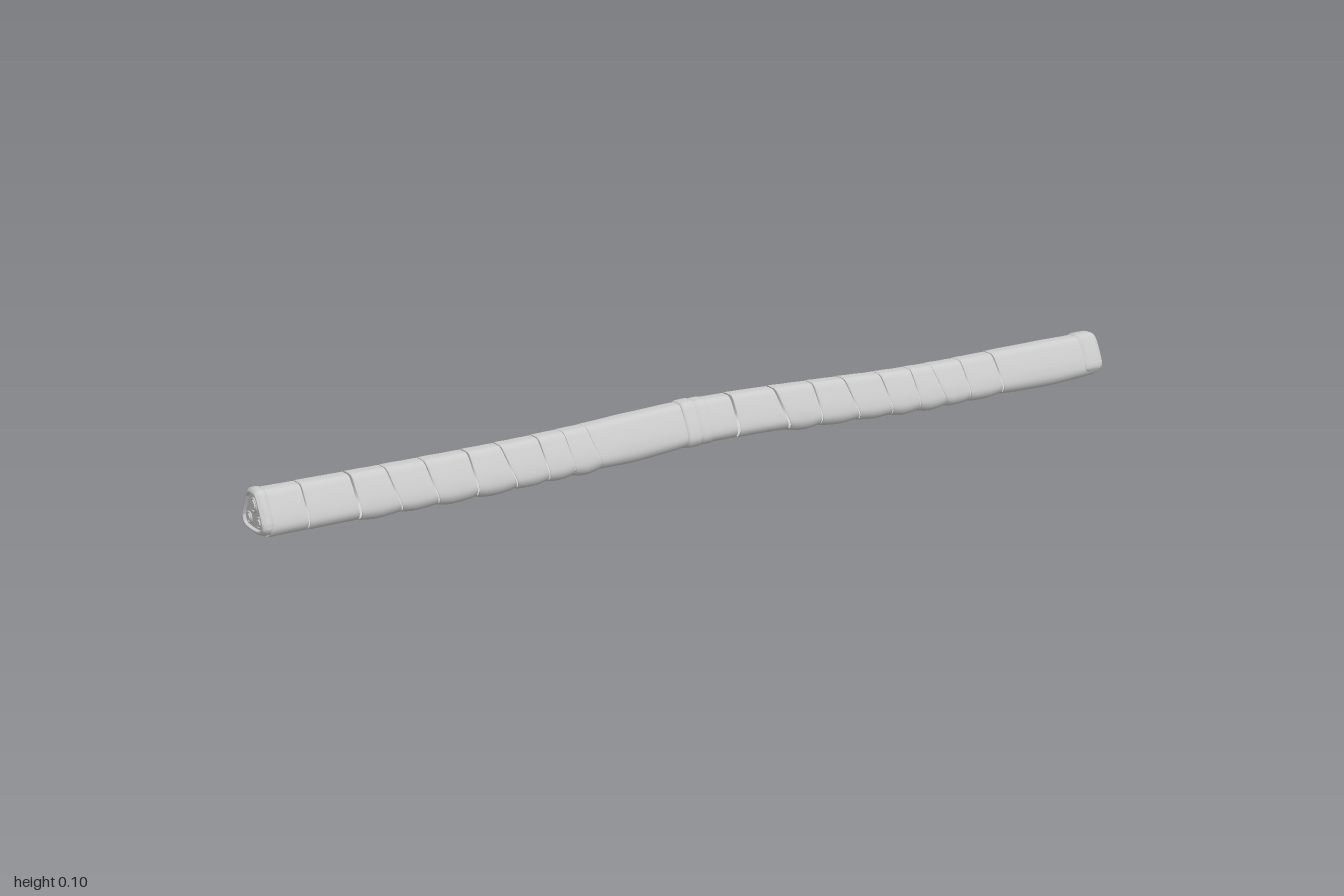
import * as THREE from 'three';
import { toCreasedNormals } from 'three/addons/utils/BufferGeometryUtils.js';

const material = new THREE.MeshStandardMaterial({ color: 0xcccccc, side: THREE.DoubleSide });
const MID = 0.051; // height of the bundle's axis
const SIDES = 56;

// gentle sideways sway of the bundle
const sway = new THREE.CatmullRomCurve3([
  [-1, 0.015], [-0.75, 0.016], [-0.5, 0.014], [-0.3, 0], [-0.12, -0.022], [0, -0.03], [0.12, -0.026],
  [0.3, -0.006], [0.45, 0.014], [0.6, 0.02], [0.8, 0.013], [1, 0.012],
].map(([x, z]) => new THREE.Vector3(x, 0, z))).getSpacedPoints(300);
function swayAt(x) {
  const i = Math.max(1, sway.findIndex((p) => p.x >= x));
  const a = sway[i - 1], b = sway[i];
  return THREE.MathUtils.lerp(a.z, b.z, THREE.MathUtils.clamp((x - a.x) / (b.x - a.x), 0, 1));
}

// rounded triangular cross-section, as z and y offsets from the axis
const half = [[0.016, 0.095], [0.029, 0.076], [0.045, 0.04], [0.0465, 0.027], [0.038, 0.014], [0.02, 0.009]];
const outline = [[0, 0.097], ...half, [0, 0.008], ...half.slice().reverse().map(([z, y]) => [-z, y])];
const section = new THREE.CatmullRomCurve3(
  outline.map(([z, y]) => new THREE.Vector3(0, y - MID, z)), true, 'centripetal').getSpacedPoints(SIDES).slice(0, SIDES);

// skin through rings; each ring is [x, scale, belly drop, slant, lift]
function loft(rings, crease) {
  const pos = [], index = [];
  rings.forEach(([x, s, drop = 0, slant = 0, lift = 0], i) => {
    section.forEach((p, j) => {
      const low = Math.max(0, -p.y / 0.044);
      const px = x + slant * (-p.y / 0.045 + 0.5 * low * p.z / 0.045);
      pos.push(px, MID + lift + p.y * s - drop * low, swayAt(px) + p.z * s);
      if (i < rings.length - 1) {
        const a = i * SIDES + j, b = i * SIDES + (j + 1) % SIDES;
        index.push(a, b, a + SIDES, b, b + SIDES, a + SIDES);
      }
    });
  });
  const g = new THREE.BufferGeometry();
  g.setAttribute('position', new THREE.Float32BufferAttribute(pos, 3));
  g.setIndex(index);
  if (crease) return toCreasedNormals(g, 0.7);
  g.computeVertexNormals();
  return g;
}

function add(parent, name, geometry) {
  const mesh = new THREE.Mesh(geometry, material);
  mesh.name = name;
  parent.add(mesh);
  return mesh;
}

// end collar with a recessed face and three cable ends; dir is the side it faces
function endCap(dir, depth) {
  const g = new THREE.Group();
  g.name = dir > 0 ? 'leftEnd' : 'rightEnd';
  const profile = [[depth, 0.93], [depth - 0.003, 1.0], [depth - 0.01, 1.03], [0.012, 1.03], [0.004, 1.0],
    [0.0005, 0.93], [0, 0.85], [0.002, 0.81], [0.006, 0.79], [0.006, 0.4], [0.006, 0.001]];
  const rings = profile.map(([d, s]) => [dir * (1 - d), s, -0.005, 0, 0.001]);
  if (dir < 0) rings.reverse();
  add(g, 'endCollar', loft(rings, true));
  const zc = swayAt(dir);
  for (const [z, y, r] of [[0, 0.067, 0.014], [0.021, 0.038, 0.0115], [-0.021, 0.038, 0.0115]]) {
    const rim = add(g, 'cableSheath', new THREE.TorusGeometry(r - 0.0015, 0.002, 8, 28));
    const core = add(g, 'cableCore', new THREE.CylinderGeometry(r - 0.005, r - 0.004, 0.006, 24));
    rim.rotation.y = Math.PI / 2;
    core.rotation.z = -dir * Math.PI / 2;
    rim.position.set(dir * 0.995, y, zc + z);
    core.position.set(dir * 0.995, y, zc + z);
  }
  return g;
}

export function createModel() {
  const model = new THREE.Group();
  model.name = 'wrappedCableBundle';

  // overlapping turns of wrapping tape
  const wraps = new THREE.Group();
  wraps.name = 'wrapping';
  const seams = [-0.985, -0.905, -0.8, -0.72, -0.64, -0.55, -0.47, -0.39, -0.33, -0.27, -0.04,
    0.08, 0.19, 0.27, 0.35, 0.43, 0.5, 0.56, 0.63, 0.72, 0.985];
  const slants = seams.map((x, i) => (Math.abs(x) > 0.88 || Math.abs(x) < 0.1 ? 0.001 : 0.007 + 0.004 * Math.sin(i * 2.3)));
  for (let i = 0; i < seams.length - 1; i++) {
    const x0 = seams[i], x1 = seams[i + 1], rings = [];
    const creased = slants[i] > 0.002;
    const n = Math.max(10, Math.ceil((x1 - x0) / 0.012));
    for (let k = 0; k <= n; k++) {
      const t = k / n;
      const lip = k === 0 ? 0.965 : 1;
      const ripple = creased ? 0.004 * Math.sin(t * Math.PI * 4 + i) : 0;
      const drop = creased ? 0.0065 * Math.sin(Math.PI * t) * (0.8 + 0.2 * Math.sin(i * 1.7)) : 0;
      const slant = THREE.MathUtils.lerp(slants[i], slants[i + 1], t);
      rings.push([THREE.MathUtils.lerp(x0, x1 + 0.004, k === 0 ? 0 : Math.max(t - 0.8 / n, 0.01)),
        lip * (1 - 0.02 * t + ripple), drop, slant]);
    }
    add(wraps, 'tapeTurn', loft(rings));
  }
  model.add(wraps);

  // raised bands near the middle
  for (const [a, b, s] of [[-0.045, -0.01, 1.05], [-0.01, 0.018, 1.025]]) {
    add(model, 'middleBand', loft([[a, 0.96], [a + 0.002, s - 0.02], [a + 0.007, s],
      [b - 0.007, s], [b - 0.002, s - 0.02], [b, 0.96]]));
  }

  model.add(endCap(1, 0.05), endCap(-1, 0.025));
  return model;
}
